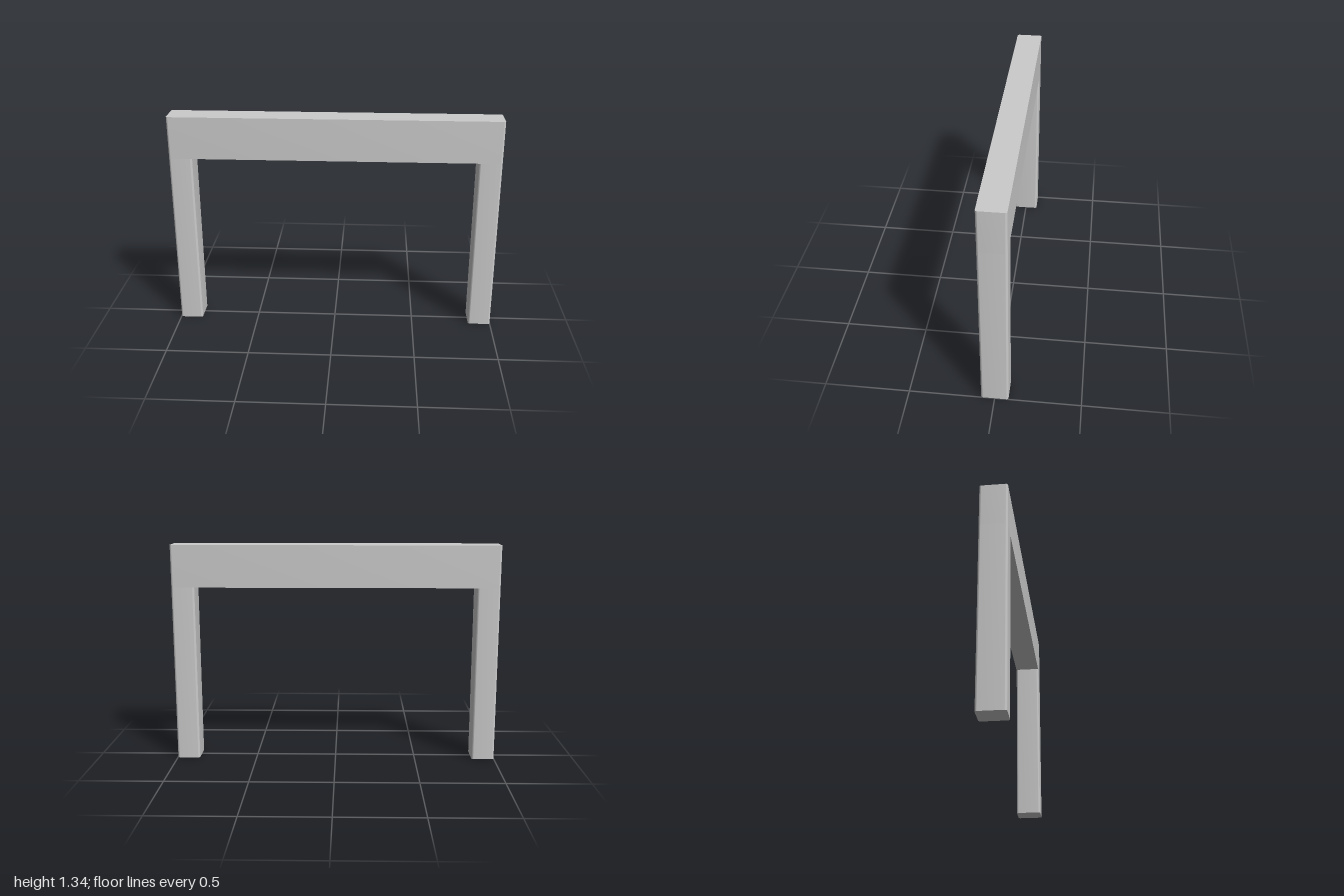
import * as THREE from 'three';
import { toCreasedNormals } from 'three/addons/utils/BufferGeometryUtils.js';

const LENGTH = 2, DEPTH = 0.16, HEIGHT = 1.343;
const LEG_WIDTH = 0.14, BEAM_BOTTOM = 1.085, RADIUS = 0.012;

// Upright block from y0 to y1 with softly rounded vertical edges
function roundedPost(width, depth, y0, y1) {
  const x = width / 2, z = depth / 2, r = RADIUS;
  const plan = new THREE.Shape();
  plan.absarc(x - r, z - r, r, 0, Math.PI / 2);
  plan.absarc(-x + r, z - r, r, Math.PI / 2, Math.PI);
  plan.absarc(-x + r, -z + r, r, Math.PI, Math.PI * 1.5);
  plan.absarc(x - r, -z + r, r, Math.PI * 1.5, Math.PI * 2);
  plan.closePath();
  const geometry = new THREE.ExtrudeGeometry(plan, { depth: y1 - y0, bevelEnabled: false, curveSegments: 4 });
  geometry.rotateX(-Math.PI / 2).translate(0, y0, 0);
  return toCreasedNormals(geometry, Math.PI / 5);
}

export function createModel() {
  const group = new THREE.Group();
  group.name = 'frame';
  const material = new THREE.MeshStandardMaterial({ color: 0xcccccc });

  // Deep crossbeam spanning the full width
  const beam = new THREE.Mesh(roundedPost(LENGTH, DEPTH, BEAM_BOTTOM, HEIGHT), material);
  beam.name = 'crossbeam';
  group.add(beam);

  // Mirrored legs, flush with the beam ends
  const legGeometry = roundedPost(LEG_WIDTH, DEPTH, 0, BEAM_BOTTOM);
  for (const side of [1, -1]) {
    const leg = new THREE.Mesh(legGeometry, material);
    leg.name = side > 0 ? 'leftLeg' : 'rightLeg';
    leg.position.x = side * (LENGTH - LEG_WIDTH) / 2;
    group.add(leg);
  }
  return group;
}
